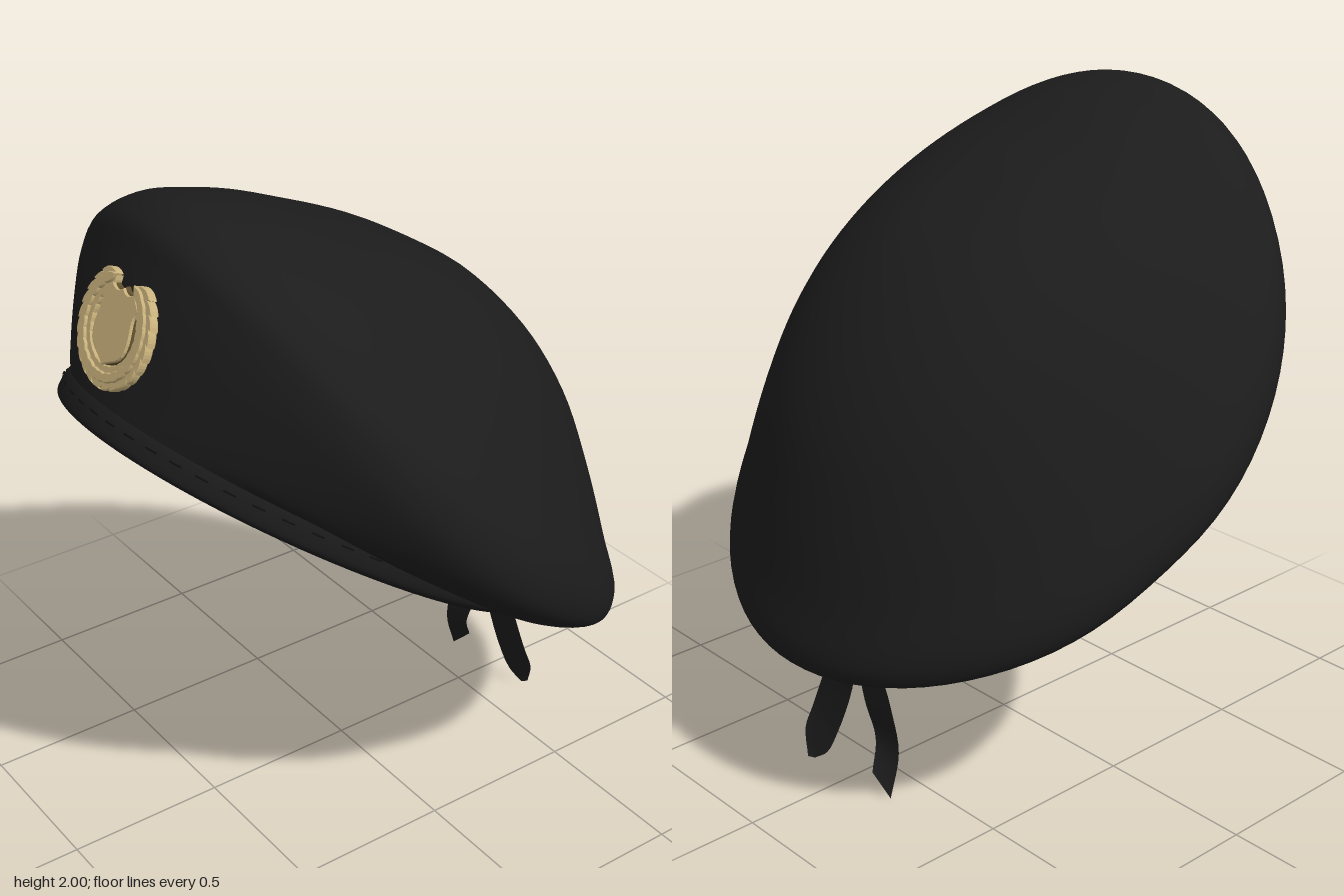
import * as THREE from 'three';
import { mergeVertices } from 'three/addons/utils/BufferGeometryUtils.js';

const mat = (name, color, side = THREE.FrontSide) => {
  const m = new THREE.MeshStandardMaterial({ color, side });
  m.name = name;
  return m;
};

// Point on a tilted ring: [frontZ, frontY, backZ, backY, halfWidth, sideDrop]
function ringPoint([fz, fy, bz, by, w, drop = 0], a) {
  const c = Math.cos(a), s = Math.sin(a), s2 = s * s;
  const dent = 1 - 0.13 * drop * Math.exp(-(((c + 0.3) / 0.2) ** 2));
  return new THREE.Vector3(
    w * s * dent,
    (fy + by) / 2 + (fy - by) / 2 * c - drop * s2,
    (fz + bz) / 2 + (fz - bz) / 2 * c + drop * 0.8 * s2
  );
}

// Smooth surface through a list of rings
function loft(rings, seg = 96, steps = 5) {
  const rows = (rings.length - 1) * steps, pos = [], idx = [];
  const curves = [];
  for (let i = 0; i < seg; i++) {
    const a = i / seg * Math.PI * 2;
    curves.push(new THREE.CatmullRomCurve3(rings.map(r => ringPoint(r, a))));
  }
  for (let j = 0; j <= rows; j++) {
    for (let i = 0; i < seg; i++) {
      pos.push(...curves[i].getPoint(j / rows).toArray());
      if (j === rows) continue;
      const n = (i + 1) % seg, p = j * seg, q = p + seg;
      idx.push(p + i, p + n, q + n, p + i, q + n, q + i);
    }
  }
  let g = new THREE.BufferGeometry();
  g.setAttribute('position', new THREE.Float32BufferAttribute(pos, 3));
  g.setIndex(idx);
  g = mergeVertices(g, 1e-5);
  g.computeVertexNormals();
  return g;
}

// Ribbon strip from cross-sections: [leftX, leftY, rightX, rightY, z]
function ribbon(sections) {
  const left = new THREE.CatmullRomCurve3(sections.map(s => new THREE.Vector3(s[0], s[1], s[4])));
  const right = new THREE.CatmullRomCurve3(sections.map(s => new THREE.Vector3(s[2], s[3], s[4] - 0.015)));
  const pos = [], idx = [], n = 20;
  for (let i = 0; i <= n; i++) {
    pos.push(...left.getPoint(i / n).toArray(), ...right.getPoint(i / n).toArray());
    if (i < n) idx.push(2 * i, 2 * i + 2, 2 * i + 1, 2 * i + 1, 2 * i + 2, 2 * i + 3);
  }
  const g = new THREE.BufferGeometry();
  g.setAttribute('position', new THREE.Float32BufferAttribute(pos, 3));
  g.setIndex(idx);
  g.computeVertexNormals();
  return g;
}

function shieldShape(k) {
  const s = new THREE.Shape();
  s.moveTo(0, -0.108 * k);
  s.bezierCurveTo(0.03 * k, -0.08 * k, 0.085 * k, -0.085 * k, 0.085 * k, -0.02 * k);
  s.bezierCurveTo(0.085 * k, 0.02 * k, 0.065 * k, 0.05 * k, 0.09 * k, 0.075 * k);
  s.lineTo(0.055 * k, 0.108 * k);
  s.quadraticCurveTo(0.025 * k, 0.085 * k, 0, 0.108 * k);
  s.quadraticCurveTo(-0.025 * k, 0.085 * k, -0.055 * k, 0.108 * k);
  s.lineTo(-0.09 * k, 0.075 * k);
  s.bezierCurveTo(-0.065 * k, 0.05 * k, -0.085 * k, 0.02 * k, -0.085 * k, -0.02 * k);
  s.bezierCurveTo(-0.085 * k, -0.085 * k, -0.03 * k, -0.08 * k, 0, -0.108 * k);
  return s;
}

export function createModel() {
  const model = new THREE.Group();
  const felt = mat('black felt', 0x1c1c1c);
  const trim = mat('black trim', 0x1a1a1a);
  const cloth = mat('black ribbon', 0x1c1c1c, THREE.DoubleSide);
  const thread = mat('dark thread', 0x101010);
  const gold = mat('pale gold', 0xc9b27c);
  const brass = mat('dark brass', 0x5e4f2e);
  const add = (parent, name, geo, m) => {
    const mesh = new THREE.Mesh(geo, m);
    mesh.name = name;
    parent.add(mesh);
    return mesh;
  };

  // Crown: flares out of the band, turns over the rim, closes on top
  add(model, 'crown', loft([
    [0.81, 1.49, -0.56, 0.58, 0.685],
    [0.785, 1.56, -0.65, 0.545, 0.735, 0.06],
    [0.72, 1.75, -0.77, 0.478, 0.825, 0.13],
    [0.665, 1.88, -0.83, 0.472, 0.887, 0.145],
    [0.62, 1.96, -0.85, 0.52, 0.882, 0.12],
    [0.52, 2.0, -0.82, 0.68, 0.775, 0.075],
    [0.40, 1.985, -0.775, 0.92, 0.655, 0.05],
    [0.27, 1.95, -0.71, 1.16, 0.515, 0.02],
    [0.12, 1.89, -0.59, 1.39, 0.355],
    [-0.04, 1.825, -0.40, 1.61, 0.18],
    [-0.2, 1.74, -0.2, 1.74, 0],
  ]), felt);

  // Headband: a rolled edge around the opening
  add(model, 'headband', loft([
    [0.76, 1.49, -0.50, 0.73, 0.64],
    [0.79, 1.43, -0.49, 0.57, 0.64],
    [0.83, 1.41, -0.515, 0.505, 0.665],
    [0.855, 1.435, -0.55, 0.51, 0.695],
    [0.84, 1.465, -0.565, 0.545, 0.70],
    [0.81, 1.495, -0.565, 0.58, 0.69],
    [0.78, 1.505, -0.54, 0.60, 0.665],
  ]), trim);

  // Lining: the inner face of the crown, ending at the sweatband
  add(model, 'lining', loft([
    [-0.19, 1.70, -0.19, 1.70, 0],
    [-0.04, 1.785, -0.385, 1.57, 0.17],
    [0.12, 1.85, -0.565, 1.37, 0.335],
    [0.27, 1.915, -0.685, 1.14, 0.49, 0.02],
    [0.40, 1.95, -0.745, 0.91, 0.625, 0.05],
    [0.51, 1.965, -0.79, 0.68, 0.745, 0.08],
    [0.585, 1.93, -0.815, 0.55, 0.835, 0.12],
    [0.63, 1.86, -0.795, 0.51, 0.845, 0.135],
    [0.685, 1.74, -0.735, 0.515, 0.79, 0.125],
    [0.745, 1.56, -0.61, 0.60, 0.70, 0.05],
    [0.76, 1.50, -0.53, 0.70, 0.645],
  ], 96, 4), trim);

  // Stitches: dashes on the band's upper edge and inside the sweatband
  const stitch = new THREE.BoxGeometry(0.004, 0.004, 0.038);
  const stitchRings = [
    ['outerStitch', [0.832, 1.478, -0.567, 0.556, 0.700]],
    ['innerStitch', [0.776, 1.455, -0.49, 0.59, 0.638]],
  ];
  for (const [name, ring] of stitchRings) {
    for (let i = 0; i < 56; i++) {
      const a = i / 56 * Math.PI * 2;
      const m = add(model, name, stitch, thread);
      m.position.copy(ringPoint(ring, a));
      m.lookAt(ringPoint(ring, a + 0.02));
    }
  }

  // Ribbon tails and the knot at the back
  add(model, 'rightRibbon', ribbon([
    [-0.05, 0.54, 0.0, 0.54, -0.555],
    [-0.095, 0.46, -0.018, 0.46, -0.595],
    [-0.15, 0.29, -0.045, 0.28, -0.59],
    [-0.17, 0.14, -0.08, 0.16, -0.58],
    [-0.176, 0.003, -0.11, 0.07, -0.62],
  ]), cloth);
  add(model, 'leftRibbon', ribbon([
    [-0.012, 0.54, 0.035, 0.54, -0.56],
    [-0.014, 0.46, 0.065, 0.46, -0.60],
    [0.02, 0.29, 0.14, 0.30, -0.60],
    [0.075, 0.12, 0.18, 0.17, -0.62],
    [0.105, 0.045, 0.192, 0.10, -0.64],
    [0.15, 0.01, 0.165, 0.015, -0.655],
  ]), cloth);
  const knot = add(model, 'ribbonKnot', new THREE.SphereGeometry(0.035, 16, 12), trim);
  knot.scale.set(1.1, 0.8, 0.7);
  knot.position.set(-0.005, 0.515, -0.57);

  // Badge, leaning back with the crown's front
  const badge = new THREE.Group();
  badge.name = 'badge';
  badge.position.set(0, 1.705, 0.735);
  badge.rotation.x = -0.39;
  model.add(badge);

  const plate = (shape, depth) => new THREE.ExtrudeGeometry(shape, {
    depth, curveSegments: 8, bevelEnabled: true, bevelThickness: 0.004, bevelSize: 0.003, bevelSegments: 1,
  });
  add(badge, 'shieldEdge', plate(shieldShape(1.05), 0.014), brass);
  add(badge, 'shield', plate(shieldShape(1), 0.022), gold);

  // Wreath: a curved stem on each side carrying rows of leaves
  const leafShape = new THREE.Shape();
  leafShape.moveTo(0, -0.032);
  leafShape.quadraticCurveTo(0.024, 0, 0, 0.036);
  leafShape.quadraticCurveTo(-0.024, 0, 0, -0.032);
  const leaf = plate(leafShape, 0.018);
  for (const side of [-1, 1]) {
    const branch = new THREE.Group();
    branch.name = side > 0 ? 'leftWreathBranch' : 'rightWreathBranch';
    badge.add(branch);
    const at = t => new THREE.Vector3(side * 0.138 * Math.sin(t), -0.138 * Math.cos(t), 0.004);
    const pts = [];
    for (let i = 0; i <= 12; i++) pts.push(at(i / 12 * 2.6));
    const stem = add(branch, 'stem', new THREE.TubeGeometry(new THREE.CatmullRomCurve3(pts), 32, 0.026, 8), gold);
    stem.scale.z = 0.75;
    for (let i = 0; i < 11; i++) {
      const t = 0.1 + i * 0.245;
      for (const k of [-1, 0, 1]) {
        const m = add(branch, 'leaf', leaf, gold);
        m.position.copy(at(t)).multiplyScalar(1 + k * 0.12);
        m.position.z = k === 0 ? 0.01 : 0.002;
        m.rotation.z = side * (t + Math.PI / 2 + k * 0.4);
      }
    }
  }
  return model;
}
